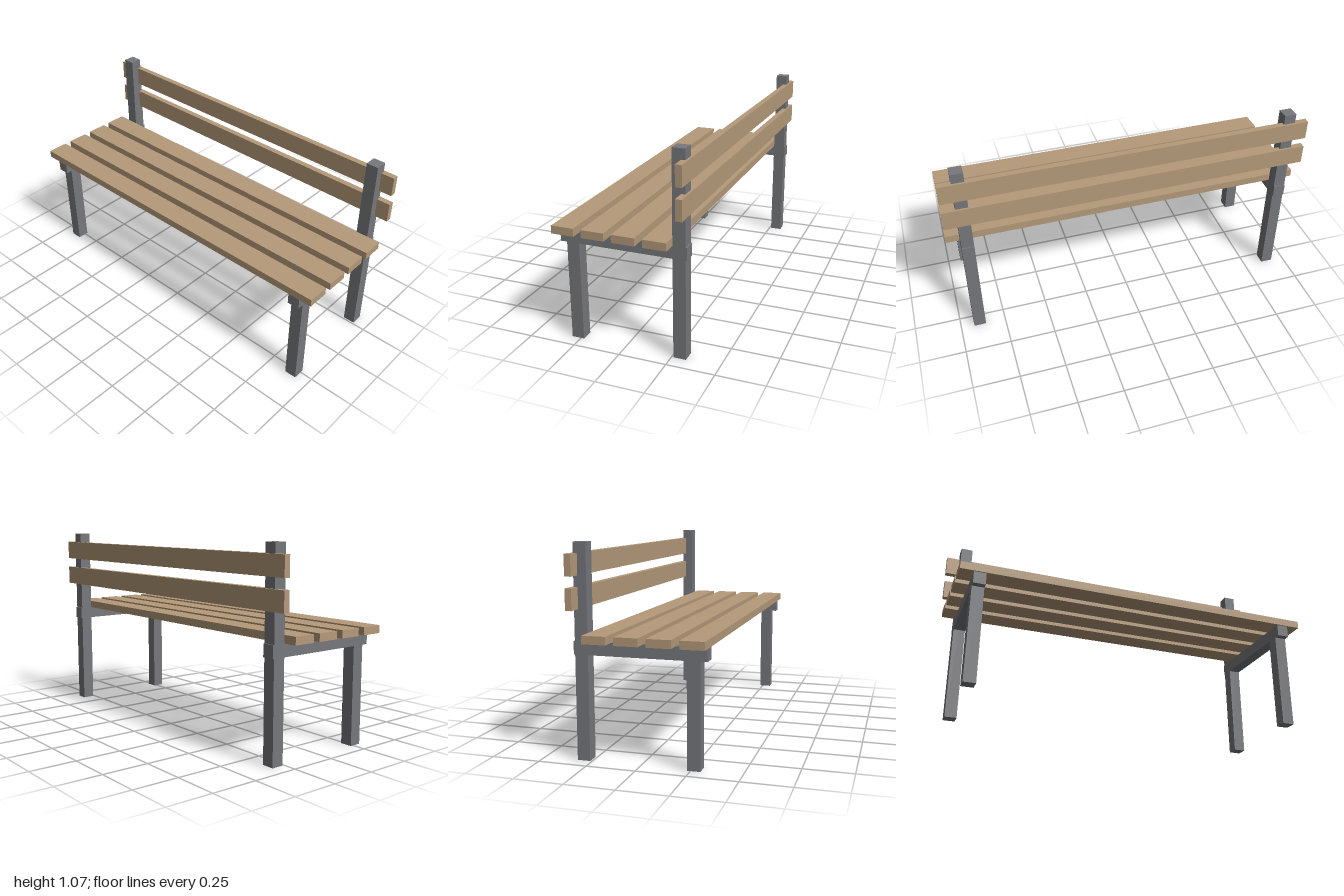
import * as THREE from 'three';

export function createModel() {
  const bench = new THREE.Group();
  bench.name = 'bench';
  const wood = new THREE.MeshStandardMaterial({ color: 0xb59a7a });
  const metal = new THREE.MeshStandardMaterial({ color: 0x77787c });

  // Box centred on x, given by its y and z extents
  function bar(name, material, x, width, [y0, y1], [z0, z1]) {
    const mesh = new THREE.Mesh(new THREE.BoxGeometry(width, y1 - y0, z1 - z0), material);
    mesh.position.set(x, (y0 + y1) / 2, (z0 + z1) / 2);
    mesh.name = name;
    bench.add(mesh);
  }

  // End frames: front leg, tall back post and the rail carrying the seat
  const tube = 0.066;
  for (const [side, s] of [['left', 1], ['right', -1]]) {
    const x = s * 0.894;
    bar(side + 'FrontLeg', metal, x, tube, [0, 0.527], [0.233, 0.299]);
    bar(side + 'BackPost', metal, x, tube, [0, 1.067], [-0.326, -0.26]);
    bar(side + 'SeatRail', metal, x, tube, [0.527, 0.593], [-0.333, 0.333]);
  }

  // Four seat slats, front to back
  for (let i = 0; i < 4; i++) {
    const z = 0.28 - i * 0.16;
    bar('seatSlat' + (i + 1), wood, 0, 2, [0.593, 0.634], [z - 0.06, z + 0.06]);
  }

  // Two backrest slats, let into the rear of the posts
  [0.8, 0.961].forEach((y, i) =>
    bar('backSlat' + (i + 1), wood, 0, 2, [y - 0.053, y + 0.053], [-0.338, -0.305]));

  return bench;
}
